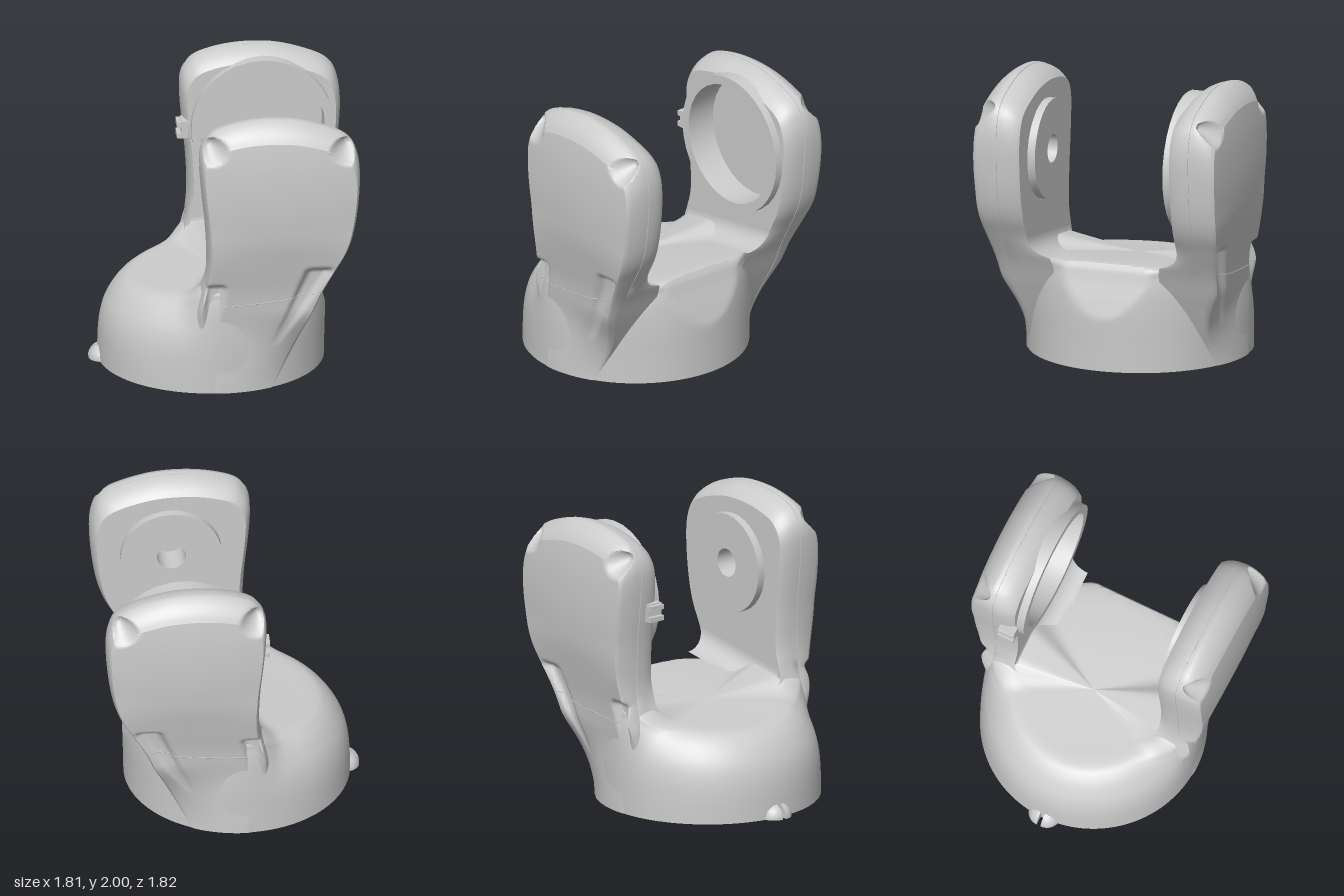
import * as THREE from 'three';
import { toCreasedNormals } from 'three/addons/utils/BufferGeometryUtils.js';

const grey = new THREE.MeshStandardMaterial({ color: 0xcccccc });
const thin = new THREE.MeshStandardMaterial({ color: 0xcccccc, side: THREE.DoubleSide });
const { lerp, smoothstep, clamp } = THREE.MathUtils;
const CX = -0.06, R = 0.78; // base axis and radius

// Linear lookup in a list of [key, value] pairs
function lookup(table, k) {
  for (let i = 1; i < table.length; i++) {
    const [a, va] = table[i - 1], [b, vb] = table[i];
    if (k <= b) return lerp(va, vb, clamp((k - a) / (b - a), 0, 1));
  }
  return table[table.length - 1][1];
}

// Surface grid from a function (i, j) => [x, y, z]
function grid(nu, nv, fn, flip, crease = 0.6) {
  const pos = [], idx = [];
  for (let i = 0; i <= nu; i++) for (let j = 0; j <= nv; j++) pos.push(...fn(i, j));
  for (let i = 0; i < nu; i++) for (let j = 0; j < nv; j++) {
    const a = i * (nv + 1) + j, b = a + nv + 1;
    if (flip) idx.push(a, a + 1, b, b, a + 1, b + 1);
    else idx.push(a, b, a + 1, b, b + 1, a + 1);
  }
  const g = new THREE.BufferGeometry();
  g.setAttribute('position', new THREE.Float32BufferAttribute(pos, 3));
  g.setIndex(idx);
  return toCreasedNormals(g, crease);
}

function add(parent, name, geometry, material = grey) {
  const m = new THREE.Mesh(geometry, material);
  m.name = name;
  parent.add(m);
  return m;
}

const curve = pts => new THREE.SplineCurve(pts.map(p => new THREE.Vector2(...p)));
const lathe = (pts, seg) =>
  toCreasedNormals(new THREE.LatheGeometry(pts.map(p => new THREE.Vector2(...p)), seg), 0.6);

const floorY = x => 0.67 + 0.133 * x;
const wallZ = x => Math.sqrt(Math.max(R * R - (x - CX) ** 2, 0));

// Rounded base: dome on the left, rolled-off edge on the right
const domeCurve = curve([[0.78, 0], [0.777, 0.28], [0.765, 0.5], [0.735, 0.69], [0.68, 0.85], [0.62, 0.95], [0.55, 1], [0.4, 1]]);
const edgeCurve = curve([[0.78, 0], [0.784, 0.25], [0.788, 0.45], [0.788, 0.6], [0.783, 0.75], [0.77, 0.88], [0.75, 0.97], [0.6, 1]]);
const rollOff = [[0.36, 0.73], [0.5, 0.692], [0.62, 0.655], [0.7, 0.635], [0.74, 0.615], [0.755, 0.6]];

function baseGeometry() {
  const rows = 36;
  return grid(120, rows + 1, (i, j) => {
    const a = i / 120 * Math.PI * 2, w = smoothstep(Math.cos(a), -0.6, 0);
    const t = Math.min(j / rows, 1);
    const d = domeCurve.getPoint(t).lerp(edgeCurve.getPoint(t), w);
    const r = j > rows ? 0 : d.x;
    let x = CX + r * Math.cos(a);
    const z = r * Math.sin(a);
    let y = j > rows ? floorY(x) : d.y * floorY(Math.min(x, 0.6));
    x = Math.min(x, lookup(rollOff, y));
    // swell up against the foot of each arm
    y += 0.1 * smoothstep(x, -0.32, -0.14) * (1 - smoothstep(x, 0.1, 0.3)) * smoothstep(Math.abs(z), 0.4, 0.6) * smoothstep(d.y, 0.4, 0.9);
    return [x, y, z];
  }, true, 0.5);
}

// Arm outline, from lower left over the top to lower right
const outline = curve([
  [-0.22, 0], [-0.22, 0.25], [-0.22, 0.45], [-0.22, 0.58], [-0.198, 0.68], [-0.168, 0.8], [-0.155, 0.97], [-0.165, 1.2],
  [-0.19, 1.45], [-0.205, 1.65], [-0.2, 1.78], [-0.16, 1.87], [-0.08, 1.935], [0.1, 1.985], [0.3, 2], [0.5, 1.98],
  [0.72, 1.91], [0.83, 1.84], [0.88, 1.74], [0.9, 1.6], [0.892, 1.4], [0.865, 1.2], [0.82, 1.05], [0.74, 0.9],
  [0.64, 0.71], [0.55, 0.5], [0.42, 0.22], [0.3, 0],
]).getSpacedPoints(320);
const N = outline.length - 1;

const outerZ = curve([[0, 0.77], [0.35, 0.768], [0.6, 0.795], [0.75, 0.815], [0.9, 0.845], [1.1, 0.885], [1.25, 0.902], [1.4, 0.91],
  [1.55, 0.91], [1.7, 0.903], [1.86, 0.885], [2, 0.86]]).getPoints(80).map(p => [p.x, p.y]);

// Rings across the arm: [depth, x scale, y scale]; the middle ones form the seam
const rings = [[0, 0.93, 0.885], [0.04, 0.945, 0.9], [0.1, 0.962, 0.922], [0.2, 0.982, 0.952], [0.33, 0.995, 0.976], [0.49, 1, 0.995],
  [0.493, 0.993, 0.99], [0.503, 0.993, 0.99], [0.506, 1, 0.996]];
const rounding = new THREE.CatmullRomCurve3([[0.506, 1, 0.996], [0.61, 1, 1], [0.7, 0.997, 0.987], [0.8, 0.988, 0.96],
  [0.88, 0.978, 0.926], [0.95, 0.965, 0.882], [1, 0.945, 0.83]].map(p => new THREE.Vector3(...p)));
for (let i = 1; i <= 20; i++) rings.push(rounding.getPoint(i / 20).toArray());

// Conical screw scoops at the top corners, tapering pockets at the bottom
const scoops = [[-0.15, 1.85], [0.82, 1.83]];
const pockets = [{ top: 0.79, x0: -0.1, x1: -0.15, w: 0.085 }, { top: 0.9, x0: 0.61, x1: 0.31, w: 0.11 }];

function dent(x, y, z) {
  if (z < 0.72) return z;
  for (const [sx, sy] of scoops) z = Math.min(z, 0.74 + 1.15 * Math.max(0, Math.hypot(x - sx, y - sy) - 0.02));
  for (const p of pockets) {
    const t = (p.top - y) / (p.top - 0.32);
    if (t < -0.06 || t > 1) continue;
    const hw = lerp(p.w, 0.03, t), d = Math.abs(x - lerp(p.x0, p.x1, t));
    const depth = 0.06 * (1 - t) * smoothstep(t, -0.06, 0.03);
    z = Math.min(z, Math.max(0.73, z - depth * (1 - smoothstep(d, hw * 0.4, hw))));
  }
  return z;
}

// Outer surface: bulged cover flowing into the base wall
function coverZ(x, y, k) {
  const crown = 0.025 * ((x - 0.35) / 0.5) ** 2 * smoothstep(y, 0.9, 1.3);
  const z = 0.705 + (lookup(outerZ, y) - crown - 0.705) * k;
  const e = smoothstep(x, -0.25, -0.06); // tuck the left edge into the dome
  const wall = wallZ(x) + lerp(-0.03, 0.006, e);
  return dent(x, y, lerp(wall, z, smoothstep(y, lerp(0.35, 0, e), lerp(0.72, 0.6, e))));
}

// Inner half: flares into the saddle floor, then into the base wall
function innerZ(x, y, v) {
  const h = y - floorY(x), q = 1 - clamp(h / 0.13, 0, 1);
  const z = 0.55 + 0.31 * v - 0.15 * (1 - Math.sqrt(1 - q * q)) * (1 - 2 * v);
  return lerp(z, Math.min(wallZ(x) - 0.03, 0.7), smoothstep(-h, 0, 0.24));
}

function armPoint(p, [v, sx, sy]) {
  const y = p.y > 1.2 ? 1.2 + (p.y - 1.2) * sy : p.y;
  const mid = p.y < 1 ? -0.05 + 0.4 * p.y : 0.35;
  const inset = v < 0.5 ? lerp(1, sx, smoothstep(y, 0.7, 0.95)) : sx;
  const x = mid + (p.x - mid) * inset;
  return [x, y, v < 0.5 ? innerZ(x, y, v) : coverZ(x, y, 2 * v - 1)];
}

function buildArm(side, name, holeRadius) {
  const arm = new THREE.Group();
  arm.name = name;
  add(arm, 'armRim', grid(N, rings.length - 1, (i, j) => {
    const [x, y, z] = armPoint(outline[i], rings[j]);
    return [x, y, z * side];
  }, side > 0, 1));

  // Outer face, spanning from the left to the right edge of the last ring
  const last = rings[rings.length - 1];
  add(arm, 'coverFace', grid(N / 2, 44, (i, j) => {
    const a = armPoint(outline[i], last), b = armPoint(outline[N - i], last), t = j / 44;
    const x = lerp(a[0], b[0], t), y = lerp(a[1], b[1], t);
    return [x, y, side * coverZ(x, y, 1)];
  }, side > 0, 1));

  // Flat inner face with the joint opening
  const face = new THREE.Shape(outline.filter(p => p.y >= 0.72).map(p => {
    const [x, y] = armPoint(p, rings[0]);
    return new THREE.Vector2(x, y);
  }));
  face.holes.push(new THREE.Path().absarc(0.35, 1.45, holeRadius, 0, Math.PI * 2, true));
  add(arm, 'innerFace', new THREE.ShapeGeometry(face, 24), thin).position.z = 0.55 * side;

  // Fillet between the saddle floor and the inner face
  add(arm, 'saddleFillet', grid(16, 12, (i, j) => {
    const a = j / 12 * Math.PI / 2, lift = 0.13 * (1 - Math.cos(a));
    const x = lerp(lerp(-0.2, -0.142, j / 12), 0.655 + 0.4 * lift, i / 16);
    return [x, floorY(x) + lift - 0.002, side * (0.4 + 0.15 * Math.sin(a))];
  }, side > 0), thin);

  // Lower edge of the cover plate
  const seam = [];
  for (let i = 0; i <= 40; i++) {
    const t = i / 40, x = lerp(-0.17, 0.6, t), y = 0.645 + 0.075 * t * t;
    seam.push(new THREE.Vector3(x, y, side * coverZ(x, y, 1)));
  }
  add(arm, 'coverSeam', new THREE.TubeGeometry(new THREE.CatmullRomCurve3(seam), 80, 0.003, 5));
  return arm;
}

function joint(parent, name, profile, side) {
  const g = lathe(profile, 32).rotateX(side * Math.PI / 2);
  add(parent, name, g, thin).position.set(0.35, 1.45, 0.495 * side);
}

export function createModel() {
  const model = new THREE.Group();
  model.name = 'forkLink';

  add(model, 'base', baseGeometry());
  // Stepped socket underneath
  add(model, 'baseSocket', lathe([[0.78, 0], [0.74, 0], [0.74, 0.05], [0.7, 0.05], [0.7, 0.36], [0.67, 0.41], [0.52, 0.41], [0.52, 0.52], [0, 0.52]], 64), thin)
    .position.x = CX;

  const front = buildArm(1, 'frontArm', 0.1);
  joint(front, 'jointDisc', [[0, 0.2], [0.1, 0.2], [0.1, 0], [0.35, 0], [0.35, 0.06]], 1);
  const back = buildArm(-1, 'backArm', 0.43);
  joint(back, 'jointRing', [[0, 0.22], [0.43, 0.22], [0.43, 0], [0.495, 0], [0.495, 0.13]], -1);
  model.add(front, back);

  // Small finned tab on the edge of the back arm
  add(back, 'tabPlate', new THREE.BoxGeometry(0.05, 0.12, 0.12)).position.set(-0.185, 1.44, -0.59);
  for (const y of [1.395, 1.475])
    add(back, 'tabFin', new THREE.BoxGeometry(0.06, 0.035, 0.12)).position.set(-0.21, y, -0.59);

  // Split index bump at the foot of the base
  for (const s of [1, -1]) {
    const g = new THREE.SphereGeometry(0.1, 16, 8, s > 0 ? 0 : Math.PI, Math.PI, 0, Math.PI / 2);
    add(model, 'indexBump', g, thin).position.set(-0.805, 0, 0.015 * s);
    add(model, 'indexBumpSide', new THREE.CircleGeometry(0.1, 16, 0, Math.PI), thin).position.set(-0.805, 0, 0.015 * s);
  }
  return model;
}
